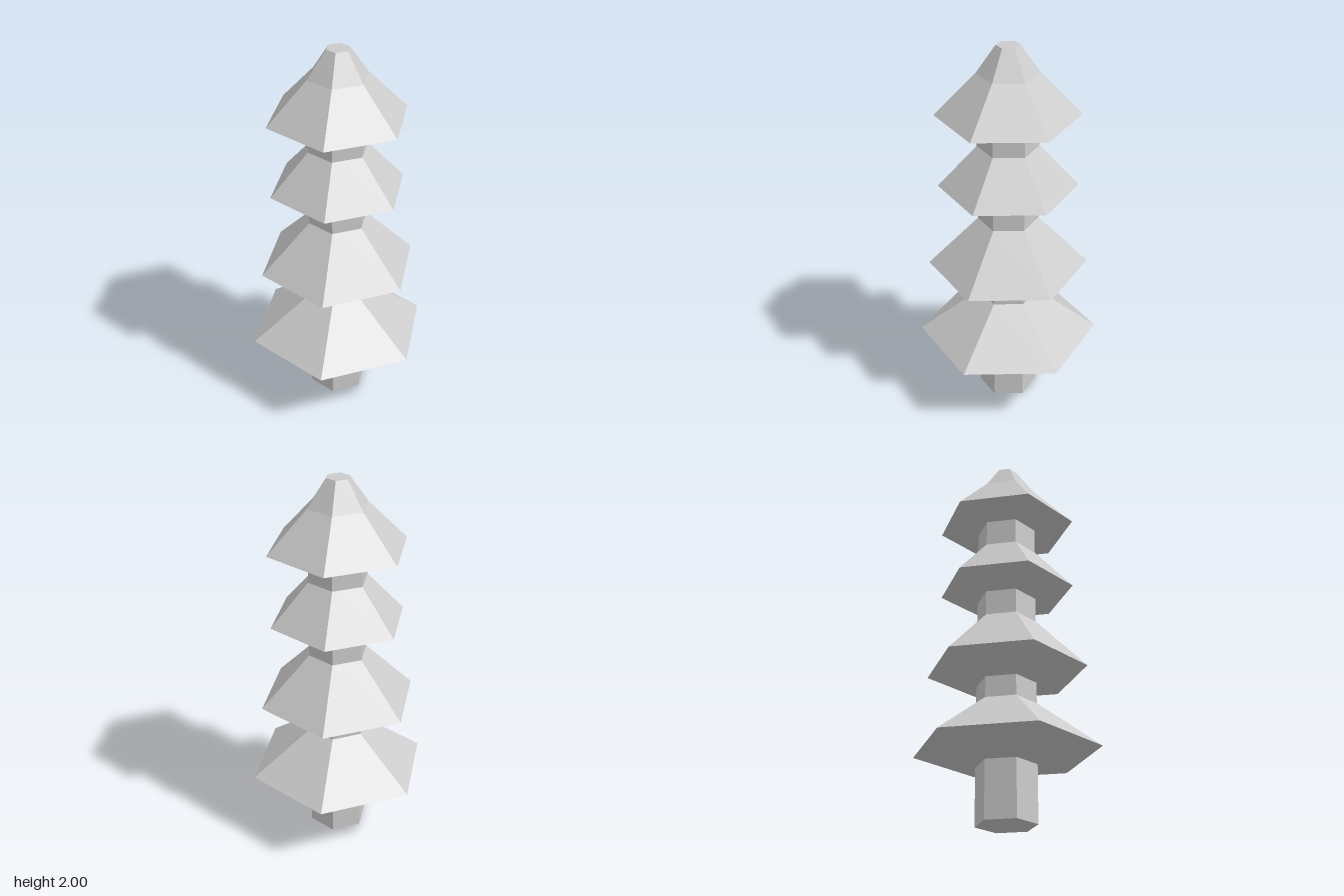
import * as THREE from 'three';

const SIDES = 6;
const TRUNK = 0.156;

export function createModel() {
  const group = new THREE.Group();
  const material = new THREE.MeshStandardMaterial({ color: 0xcccccc, flatShading: true });

  // Six-sided turned part from [radius, height] pairs, listed bottom to top
  const addPart = (name, profile) => {
    const points = profile.map(([r, y]) => new THREE.Vector2(r, y));
    const mesh = new THREE.Mesh(new THREE.LatheGeometry(points, SIDES), material);
    mesh.name = name;
    group.add(mesh);
  };

  // Foliage tiers: underside height, rim height, rim radius, top height
  const tiers = [
    { under: 0.295, rim: 0.368, radius: 0.477, top: 0.612 },
    { under: 0.722, rim: 0.796, radius: 0.417, top: 1.065 },
    { under: 1.197, rim: 1.256, radius: 0.355, top: 1.477 },
    { under: 1.614, rim: 1.646, radius: 0.363, top: 1.86 },
  ];

  let trunkBase = 0;
  tiers.forEach(({ under, rim, radius, top }, i) => {
    // Trunk section below the tier; the lowest one has a closed foot
    const trunk = [[TRUNK, trunkBase], [TRUNK, under]];
    if (i === 0) trunk.unshift([0, 0]);
    addPart(`trunkSection${i + 1}`, trunk);

    // Tier flaring out to the rim and back in; the highest one ends in a blunt tip
    const tier = [[TRUNK, under], [radius, rim], [TRUNK, top]];
    if (i === tiers.length - 1) tier.push([0.059, 2], [0, 2]);
    addPart(`foliageTier${i + 1}`, tier);
    trunkBase = top;
  });

  return group;
}
